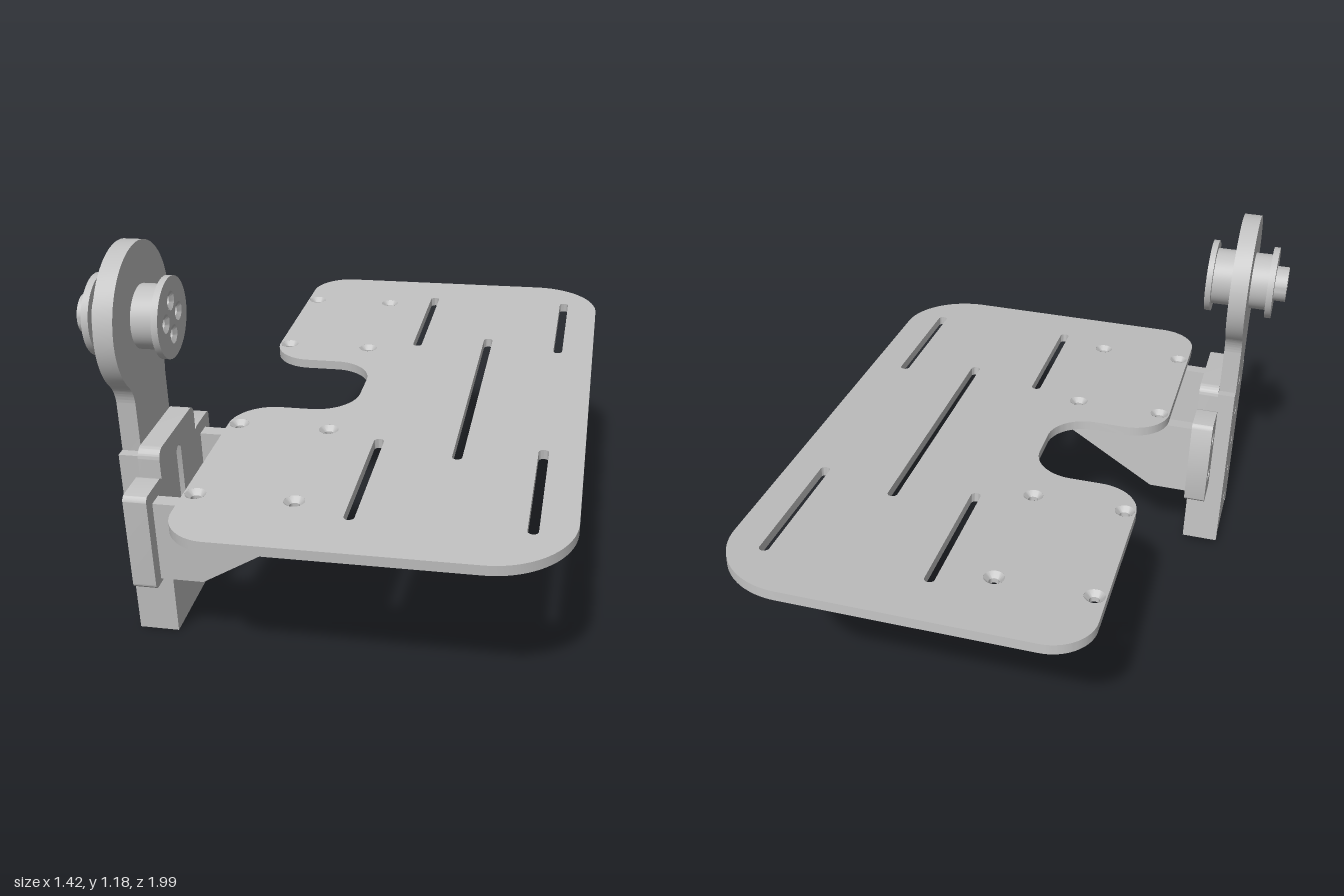
import * as THREE from 'three';
import { toCreasedNormals } from 'three/addons/utils/BufferGeometryUtils.js';

const metal = new THREE.MeshStandardMaterial({ color: 0xc0c0c0 });
metal.name = 'lightGrey';

const MID = 0.525; // centre line of the bracket along z

function part(name, geometry) {
  const mesh = new THREE.Mesh(toCreasedNormals(geometry, 0.6), metal);
  mesh.name = name;
  return mesh;
}

// Closed outline from [x, y, radius] corners
function rounded(corners) {
  const shape = new THREE.Shape();
  const n = corners.length;
  corners.forEach(([x, y, r = 0], i) => {
    const c = new THREE.Vector2(x, y);
    const toward = (j) => {
      const q = corners[(j + n) % n];
      return new THREE.Vector2(q[0] - x, q[1] - y).setLength(r).add(c);
    };
    const a = toward(i - 1), b = toward(i + 1);
    if (i === 0) shape.moveTo(a.x, a.y); else shape.lineTo(a.x, a.y);
    if (r > 0) {
      const h1 = a.clone().lerp(c, 0.5523), h2 = b.clone().lerp(c, 0.5523);
      shape.bezierCurveTo(h1.x, h1.y, h2.x, h2.y, b.x, b.y);
    }
  });
  shape.closePath();
  return shape;
}

const rect = (x0, x1, y0, y1, r = 0) =>
  rounded([[x0, y0, r], [x1, y0, r], [x1, y1, r], [x0, y1, r]]);

const circle = (x, y, r) => new THREE.Path().absarc(x, y, r, 0, Math.PI * 2, true);

const slot = (x, y0, y1, r) => new THREE.Path()
  .absarc(x, y1 - r, r, 0, Math.PI, false)
  .absarc(x, y0 + r, r, Math.PI, Math.PI * 2, false)
  .closePath();

const extrude = (shape, depth) =>
  new THREE.ExtrudeGeometry(shape, { depth, bevelEnabled: false, curveSegments: 24 });

// Slab drawn in (z, y) and running from x0 to x1
const slabX = (shape, x0, x1) =>
  extrude(shape, x1 - x0).rotateY(-Math.PI / 2).translate(x1, 0, 0);

const lathe = (points, segments = 48) =>
  new THREE.LatheGeometry(points.map(([r, y]) => new THREE.Vector2(r, y)), segments);

// Countersunk hole lining, opening at y = 0 and going down by depth
const countersink = (r, depth) => lathe(
  [[r, -depth], [r * 0.5, -depth], [r * 0.5, -depth * 0.5], [r, 0]].reverse(), 24);

function createPlate() {
  const group = new THREE.Group();
  group.name = 'footPlate';
  const L = -0.437, R = 0.648, W = 0.97, T = 0.03;
  const outline = rounded([
    [L, -W, 0.13], [R, -W, 0.23], [R, W, 0.23], [L, W, 0.13],
    [L, 0.183, 0.13], [-0.077, 0.183, 0.13], [-0.077, -0.183, 0.13], [L, -0.183, 0.13],
  ]);
  outline.holes.push(slot(0.285, -0.443, 0.443, 0.015));
  for (const x of [0.043, 0.53]) {
    outline.holes.push(slot(x, 0.35, 0.81, 0.015), slot(x, -0.81, -0.35, 0.015));
  }
  for (const x of [-0.403, -0.122]) {
    for (const z of [-0.736, -0.31, 0.31, 0.736]) {
      outline.holes.push(circle(x, z, 0.03));
      const lining = part('plateScrewHole', countersink(0.03, T));
      lining.material = metalBothSides;
      lining.position.set(x, 0, z);
      group.add(lining);
    }
  }
  group.add(part('plate', extrude(outline, T).rotateX(-Math.PI / 2).translate(0, -T, 0)));
  return group;
}

const metalBothSides = metal.clone();
metalBothSides.name = 'lightGreyOpen';
metalBothSides.side = THREE.DoubleSide;

function createBracket() {
  const group = new THREE.Group();
  group.name = 'bracket';
  const a = MID - 0.15, b = MID + 0.15;

  // Slotted web with two lips that form a channel for the arm
  const web = rounded([[a, -0.52], [b, -0.52], [b, 0.09, 0.03], [a, 0.09, 0.03]]);
  web.holes.push(slot(MID, -0.42, 0.03, 0.019));
  group.add(part('bracketWeb', slabX(web, -0.587, -0.523)));

  for (const side of [-1, 1]) {
    const at = (d) => MID + side * d;
    const span = (d0, d1) => [Math.min(at(d0), at(d1)), Math.max(at(d0), at(d1))];
    const lip = rect(...span(0.121, 0.15), -0.52, 0.07);
    group.add(part('channelLip', slabX(lip, -0.643, -0.587)));

    // Ear with two screw holes
    const ear = rect(...span(0.15, 0.275), -0.29, 0.01, 0.016);
    for (const y of [-0.07, -0.21]) ear.holes.push(circle(at(0.212), y, 0.022));
    group.add(part('bracketEar', slabX(ear, -0.592, -0.523)));

    // Gusset under the plate
    const gusset = rounded([
      [-0.523, -0.277], [-0.397, -0.277], [-0.077, -0.085], [-0.077, -0.03], [-0.523, -0.03],
    ]);
    group.add(part('gusset', extrude(gusset, 0.045).translate(0, 0, at(0.212) - 0.0225)));
  }
  return group;
}

const HUB_Y = 0.434;

function createArm() {
  // Straight bar blending into a round head
  const half = 0.12, head = 0.213, f = 0.1;
  const fx = half + f;
  const drop = Math.sqrt((head + f) ** 2 - fx ** 2);
  const t = Math.atan2(drop, fx), fy = HUB_Y - drop;
  const shape = new THREE.Shape();
  shape.moveTo(MID - half, -0.5);
  shape.lineTo(MID + half, -0.5);
  shape.absarc(MID + fx, fy, f, Math.PI, Math.PI - t, true);
  shape.absarc(MID, HUB_Y, head, -t, Math.PI + t, false);
  shape.absarc(MID - fx, fy, f, t, 0, true);
  shape.closePath();
  for (let i = 0; i < 5; i++) shape.holes.push(circle(MID, 0.06 - i * 0.12, 0.016));
  return part('arm', slabX(shape, -0.643, -0.587));
}

function createHub() {
  const group = new THREE.Group();
  group.name = 'hub';
  group.position.set(0, HUB_Y, MID);
  // Outer spool, flange and knob with a blind centre hole
  group.add(part('outerSpool', lathe([
    [0, -0.735], [0.02, -0.735], [0.02, -0.757], [0.057, -0.757], [0.057, -0.718],
    [0.117, -0.718], [0.117, -0.698], [0.092, -0.698], [0.092, -0.64],
  ]).rotateZ(-Math.PI / 2)));
  // Inner spool
  group.add(part('innerSpool', lathe([
    [0.092, -0.59], [0.092, -0.518], [0, -0.518],
  ]).rotateZ(-Math.PI / 2)));
  // Inner flange with four countersunk holes
  const flange = new THREE.Shape().absarc(0, 0, 0.117, 0, Math.PI * 2, false);
  for (let i = 0; i < 4; i++) {
    const angle = i * Math.PI / 2;
    const z = 0.05 * Math.cos(angle), y = 0.05 * Math.sin(angle);
    flange.holes.push(circle(z, y, 0.027));
    const lining = part('flangeScrewHole', countersink(0.027, 0.018).rotateZ(-Math.PI / 2));
    lining.material = metalBothSides;
    lining.position.set(-0.5, y, z);
    group.add(lining);
  }
  group.add(part('innerFlange', slabX(flange, -0.519, -0.5)));
  return group;
}

export function createModel() {
  const model = new THREE.Group();
  model.name = 'pedalAssembly';
  const tilted = new THREE.Group();
  tilted.name = 'tiltedAssembly';
  tilted.add(createPlate(), createBracket(), createArm(), createHub());
  tilted.rotation.set(THREE.MathUtils.degToRad(4.8), THREE.MathUtils.degToRad(4.7), 0);
  tilted.position.y = 0.581;
  model.add(tilted);
  return model;
}
